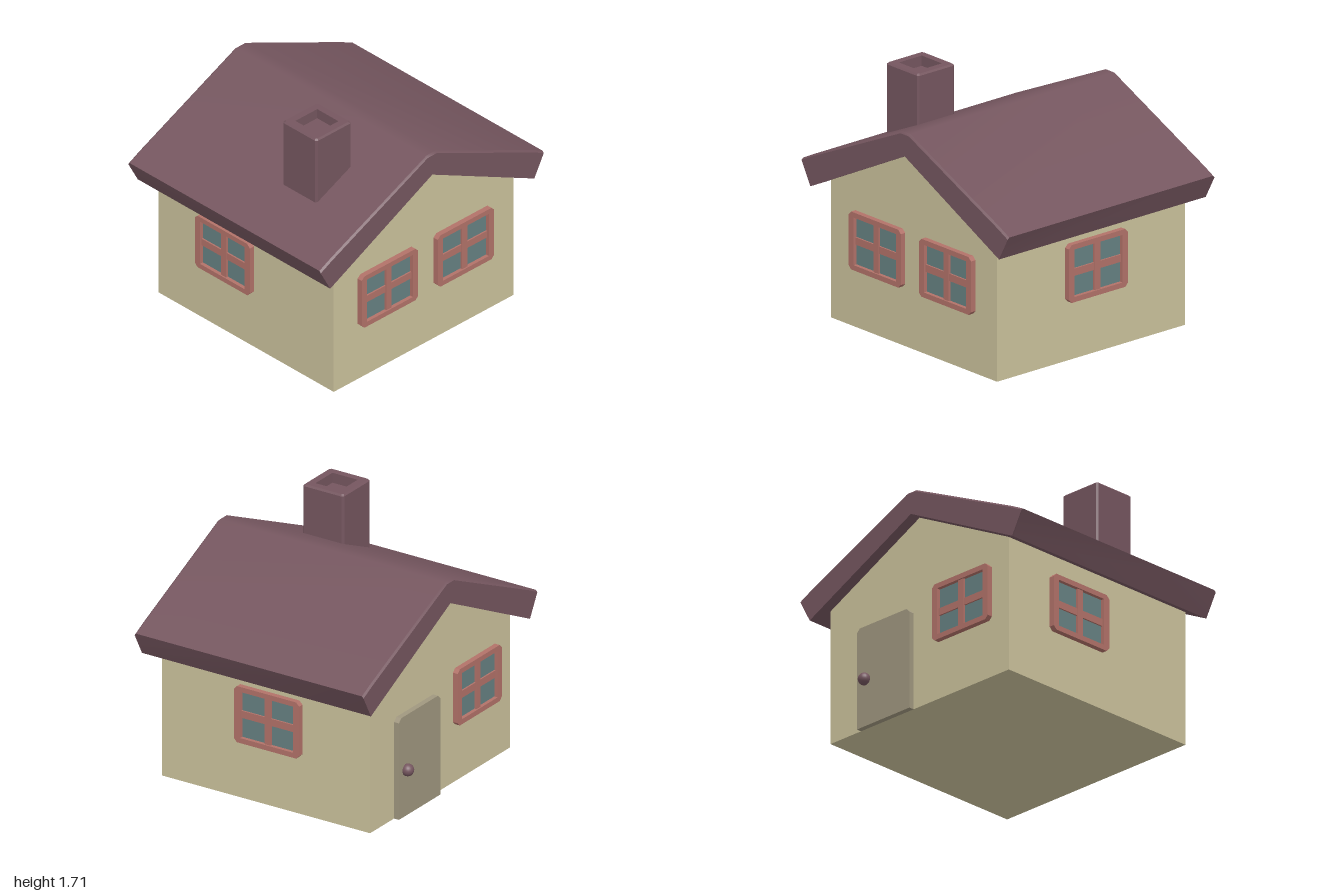
import * as THREE from 'three';
import { toCreasedNormals } from 'three/addons/utils/BufferGeometryUtils.js';

const material = (name, color) => {
  const m = new THREE.MeshStandardMaterial({ color });
  m.name = name;
  return m;
};

const polygon = (points) => new THREE.Shape(points.map(([x, y]) => new THREE.Vector2(x, y)));

// Rectangle with cut corners, centred on the origin
function chamferedRect(w, h, c) {
  const x = w / 2, y = h / 2;
  return polygon([[-x + c, -y], [x - c, -y], [x, -y + c], [x, y - c],
    [x - c, y], [-x + c, y], [-x, y - c], [-x, -y + c]]);
}

function rectHole(w, h) {
  const x = w / 2, y = h / 2;
  return new THREE.Path([[-x, -y], [-x, y], [x, y], [x, -y]].map(([a, b]) => new THREE.Vector2(a, b)));
}

const extrude = (shape, depth, steps = 1) =>
  new THREE.ExtrudeGeometry(shape, { depth, steps, bevelEnabled: false });

// Applies a rule to every vertex, then recomputes the normals
function reshape(geometry, rule) {
  const p = geometry.attributes.position, v = new THREE.Vector3();
  for (let i = 0; i < p.count; i++) {
    rule(v.fromBufferAttribute(p, i));
    p.setXYZ(i, v.x, v.y, v.z);
  }
  geometry.computeVertexNormals();
  return geometry;
}

export function createModel() {
  const wallMat = material('cream wall', 0xcbc29c);
  const roofMat = material('plum roof', 0x75565f);
  const frameMat = material('terracotta frame', 0xb27269);
  const glassMat = material('teal glass', 0x668182);
  const doorMat = material('taupe door', 0xa0977f);

  const model = new THREE.Group();
  model.name = 'house';
  const house = new THREE.Group();
  house.name = 'cottage';
  house.position.z = 0.006;
  model.add(house);

  const add = (parent, name, geometry, mat, x = 0, y = 0, z = 0) => {
    const mesh = new THREE.Mesh(geometry, mat);
    mesh.name = name;
    mesh.position.set(x, y, z);
    parent.add(mesh);
    return mesh;
  };

  // Walls with gables
  const W = 0.806;
  const wallShape = polygon([[-W, 0], [W, 0], [W, 0.96], [0, 1.36], [-W, 0.96]]);
  add(house, 'walls', extrude(wallShape, 2 * W), wallMat, 0, 0, -W);

  // Roof slab: folded outline with a softened ridge and chamfered upper end edges
  const right = [[0.915, 0.885], [1, 1.055], [0.9, 1.106], [0.04, 1.5]];
  const left = right.map(([x, y]) => [-x, y]).reverse();
  const roofShape = polygon([[0, 1.34], ...right, ...left]);
  const half = 0.886, bevel = 0.013;
  const roofGeo = extrude(roofShape, 2 * half, 3).translate(0, 0, -half);
  reshape(roofGeo, (v) => {
    const atEnd = Math.abs(v.z) > half - 0.01;
    const onTop = v.y > 1.04 && Math.abs(v.x) > 0.01;
    if (!atEnd) v.z = Math.sign(v.z) * (half - bevel);
    else if (onTop) v.y -= bevel;
  });
  add(house, 'roof', toCreasedNormals(roofGeo, 0.6), roofMat);

  // Chimney with a shallow flue and a chamfered rim
  const chimney = new THREE.Group();
  chimney.name = 'chimney';
  chimney.position.set(-0.485, 1.1, 0.322);
  house.add(chimney);
  const stackShape = chamferedRect(0.316, 0.316, 0.012);
  stackShape.holes.push(rectHole(0.195, 0.195));
  const stackHeight = 0.61;
  const stack = extrude(stackShape, stackHeight, 2).rotateX(-Math.PI / 2);
  reshape(stack, (v) => {
    if (v.y > stackHeight - 0.01) {
      if (Math.max(Math.abs(v.x), Math.abs(v.z)) > 0.12) { v.x *= 0.93; v.z *= 0.93; }
    } else if (v.y > 0.01) v.y = stackHeight - 0.011;
  });
  add(chimney, 'chimneyStack', stack, roofMat);
  add(chimney, 'flueFloor', new THREE.BoxGeometry(0.2, 0.02, 0.2), roofMat, 0, 0.53, 0);

  // Windows: chamfered frame, recessed glass and crossing bars
  function addWindow(name, x, z, turn) {
    const win = new THREE.Group();
    win.name = name;
    win.position.set(x, 0.6, z);
    win.rotation.y = turn;
    const frame = chamferedRect(0.506, 0.396, 0.024);
    frame.holes.push(rectHole(0.41, 0.325));
    add(win, 'frame', extrude(frame, 0.046), frameMat, 0, 0, -0.008);
    add(win, 'glass', new THREE.BoxGeometry(0.42, 0.335, 0.008), glassMat, 0, 0, 0.008);
    add(win, 'verticalBar', new THREE.BoxGeometry(0.048, 0.335, 0.028), frameMat, 0, 0, 0.014);
    add(win, 'horizontalBar', new THREE.BoxGeometry(0.42, 0.05, 0.018), frameMat, 0, 0, 0.014);
    house.add(win);
  }
  addWindow('frontRightWindow', -0.338, W, 0);
  addWindow('frontLeftWindow', 0.343, W, 0);
  addWindow('backWindow', -0.4, -W, Math.PI);
  addWindow('leftWindow', W, -0.03, Math.PI / 2);
  addWindow('rightWindow', -W, -0.18, -Math.PI / 2);

  // Back door with cut upper corners and a round knob
  const doorShape = polygon([[0.055, 0], [0.53, 0], [0.53, 0.68], [0.503, 0.707], [0.082, 0.707], [0.055, 0.68]]);
  add(house, 'door', extrude(doorShape, 0.046), doorMat, 0, 0, -W - 0.038);
  add(house, 'doorKnob', new THREE.SphereGeometry(0.042, 20, 14), roofMat, 0.45, 0.327, -0.858);

  return model;
}
